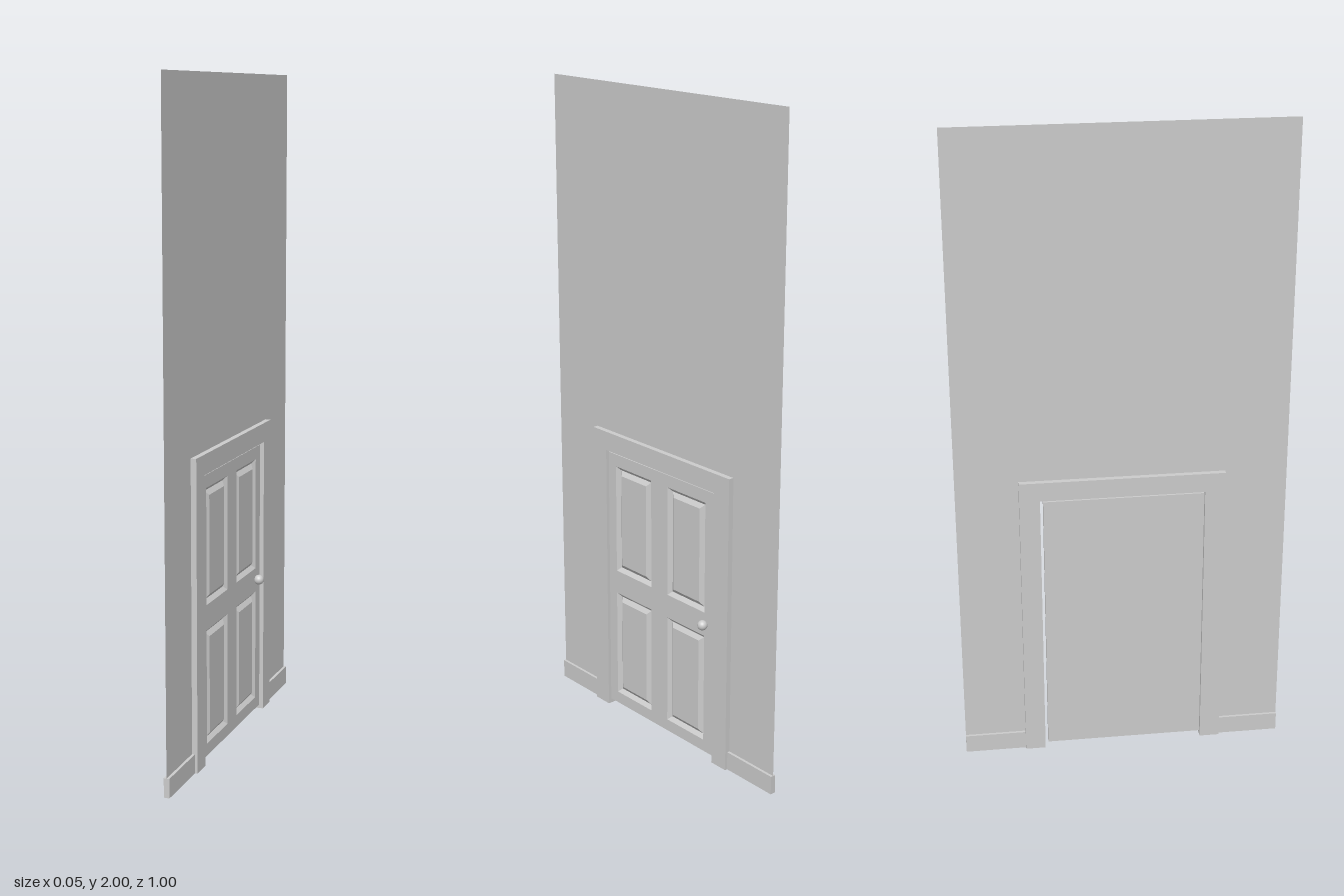
import * as THREE from 'three';

const material = new THREE.MeshStandardMaterial({ color: 0xcccccc, flatShading: true, side: THREE.DoubleSide });
const smooth = new THREE.MeshStandardMaterial({ color: 0xcccccc });

// Closed outline from a flat list of x, y pairs
const outline = (p, Type = THREE.Shape) => {
  const pts = [];
  for (let i = 0; i < p.length; i += 2) pts.push(new THREE.Vector2(p[i], p[i + 1]));
  return new Type(pts);
};
const rect = (x0, y0, x1, y1, Type) => outline([x0, y0, x1, y0, x1, y1, x0, y1], Type);

// Doorway arch: outer half width and height around an inner opening
const arch = (w, h, iw, ih) => outline([-w, 0, -iw, 0, -iw, ih, iw, ih, iw, 0, w, 0, w, h, -w, h]);

// Extrusion between two depths
function slab(shape, back, front) {
  const g = new THREE.ExtrudeGeometry(shape, { depth: front - back, bevelEnabled: false });
  return g.translate(0, 0, back);
}

// Nested rectangles [inset, depth] joined into a moulded panel with a flat centre
function mouldedPanel(x0, y0, x1, y1, rings) {
  const pos = [], index = [];
  for (const [i, z] of rings) {
    pos.push(x0 + i, y0 + i, z, x1 - i, y0 + i, z, x1 - i, y1 - i, z, x0 + i, y1 - i, z);
  }
  for (let r = 0; r < rings.length - 1; r++) {
    for (let k = 0; k < 4; k++) {
      const a = r * 4 + k, b = r * 4 + (k + 1) % 4;
      index.push(a, b, b + 4, a, b + 4, a + 4);
    }
  }
  const c = (rings.length - 1) * 4;
  index.push(c, c + 1, c + 2, c, c + 2, c + 3);
  const g = new THREE.BufferGeometry();
  g.setAttribute('position', new THREE.Float32BufferAttribute(pos, 3));
  g.setIndex(index);
  const flat = g.toNonIndexed();
  flat.computeVertexNormals();
  return flat;
}

export function createModel() {
  const model = new THREE.Group();
  model.name = 'doorInWall';
  // Everything is built facing +z, then turned to face +x
  const body = new THREE.Group();
  body.name = 'wallAndDoor';
  body.rotation.y = Math.PI / 2;
  model.add(body);
  const add = (name, geometry, parent = body, mat = material) => {
    const mesh = new THREE.Mesh(geometry, mat);
    mesh.name = name;
    parent.add(mesh);
    return mesh;
  };
  const mid = -0.0085;

  // Thin wall with the doorway cut out
  add('wall', new THREE.ShapeGeometry(arch(0.5, 2, 0.25, 0.877)).translate(0, 0, mid));

  // Door frame standing proud on both sides
  add('doorFrame', slab(arch(0.311, 0.936, 0.249, 0.876), -0.0255, 0.0085));

  // Skirting boards
  for (const s of [-1, 1]) {
    const board = add(s < 0 ? 'skirtingLeft' : 'skirtingRight', new THREE.BoxGeometry(0.19, 0.058, 0.017));
    board.position.set(s * 0.405, 0.029, mid);
  }

  // Door leaf: plain back, front face pierced by four panels
  const door = new THREE.Group();
  door.name = 'door';
  body.add(door);
  const L = -0.248, R = 0.239, B = 0.016, T = 0.869, face = -0.001;
  const front = rect(L, B, R, T);
  const rings = [[0, face], [0.012, face - 0.011], [0.026, face - 0.001]];
  for (const [x0, x1] of [[-0.213, -0.044], [0.032, 0.201]]) {
    for (const [y0, y1] of [[0.054, 0.404], [0.48, 0.83]]) {
      front.holes.push(rect(x0, y0, x1, y1, THREE.Path));
      add('doorPanel', mouldedPanel(x0, y0, x1, y1, rings), door);
    }
  }
  add('doorFront', slab(front, -0.013, face), door);
  add('doorBack', slab(rect(L, B, R, T), -0.018, -0.013), door);

  // Round knob on a short neck
  const neck = add('knobNeck', new THREE.CylinderGeometry(0.007, 0.007, 0.012, 16).rotateX(Math.PI / 2), door, smooth);
  neck.position.set(0.204, 0.443, 0.002);
  const knob = add('knob', new THREE.SphereGeometry(0.0155, 24, 16), door, smooth);
  knob.position.set(0.204, 0.443, 0.0095);

  return model;
}
